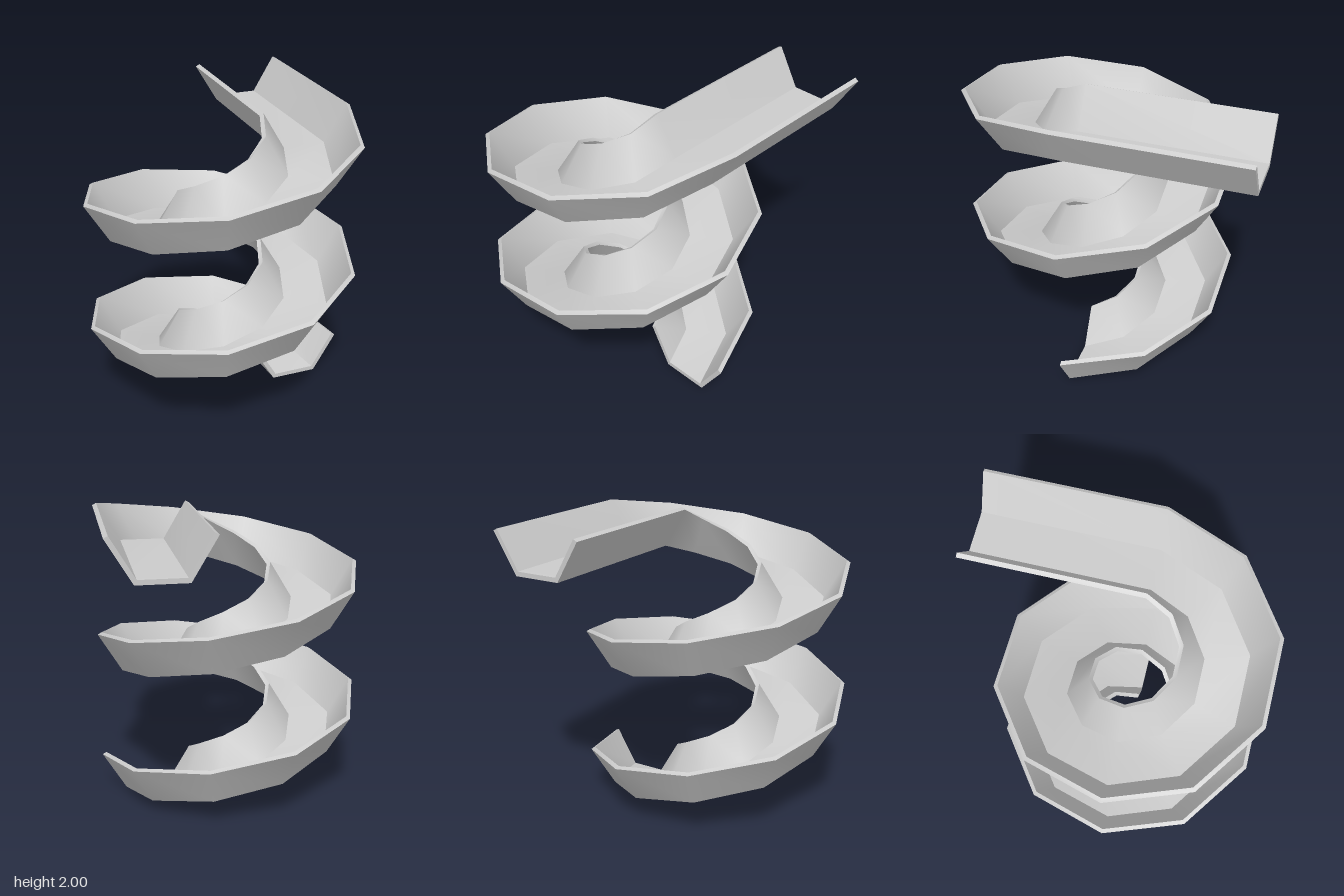
import * as THREE from 'three';

// Trough cross-section as [distance from axis, height], counter-clockwise.
// Each entry also names the surface running from it to the next point.
const PROFILE = [
  [0.417, 0, 'underside'],
  [0.73, 0, 'outerWallOutside'],
  [0.887, 0.261, 'outerRim'],
  [0.861, 0.275, 'outerWallInside'],
  [0.715, 0.03, 'floor'],
  [0.432, 0.03, 'innerWallInside'],
  [0.286, 0.275, 'innerRim'],
  [0.26, 0.261, 'innerWallOutside'],
];
const TURNS = 2, STEPS_PER_TURN = 10, RISE = 1.725;
const AXIS_Z = 0.156, END_Z = -1;

export function createModel() {
  const group = new THREE.Group();
  group.name = 'spiralSlide';
  const material = new THREE.MeshStandardMaterial({ color: 0xcccccc });

  // Sections climbing the helix, then one more for the level straight end
  const steps = TURNS * STEPS_PER_TURN;
  const sections = [];
  for (let i = 0; i <= steps; i++) {
    const angle = (i / STEPS_PER_TURN) * Math.PI * 2;
    sections.push(PROFILE.map(([r, y]) => new THREE.Vector3(
      r * Math.cos(angle), y + (RISE * i) / steps, AXIS_Z - r * Math.sin(angle))));
  }
  sections.push(PROFILE.map(([r, y]) => new THREE.Vector3(r, y + RISE, END_Z)));

  const addMesh = (name, points, index) => {
    const geometry = new THREE.BufferGeometry().setFromPoints(points);
    geometry.setIndex(index);
    geometry.computeVertexNormals();
    const mesh = new THREE.Mesh(geometry, material);
    mesh.name = name;
    group.add(mesh);
  };

  // One strip per profile edge: smooth along the run, sharp across it
  PROFILE.forEach(([, , name], k) => {
    const next = (k + 1) % PROFILE.length;
    const points = sections.flatMap((s) => [s[k], s[next]]);
    const index = [];
    for (let i = 0; i < sections.length - 1; i++) {
      const a = 2 * i;
      index.push(a, a + 2, a + 1, a + 1, a + 2, a + 3);
    }
    addMesh(name, points, index);
  });

  // Flat caps on both cut ends
  const outline = PROFILE.map(([r, y]) => new THREE.Vector2(r, y));
  const faces = THREE.ShapeUtils.triangulateShape(outline, []);
  addMesh('bottomEndCap', sections[0], faces.flat());
  addMesh('topEndCap', sections[sections.length - 1], faces.flatMap(([a, b, c]) => [a, c, b]));

  return group;
}
